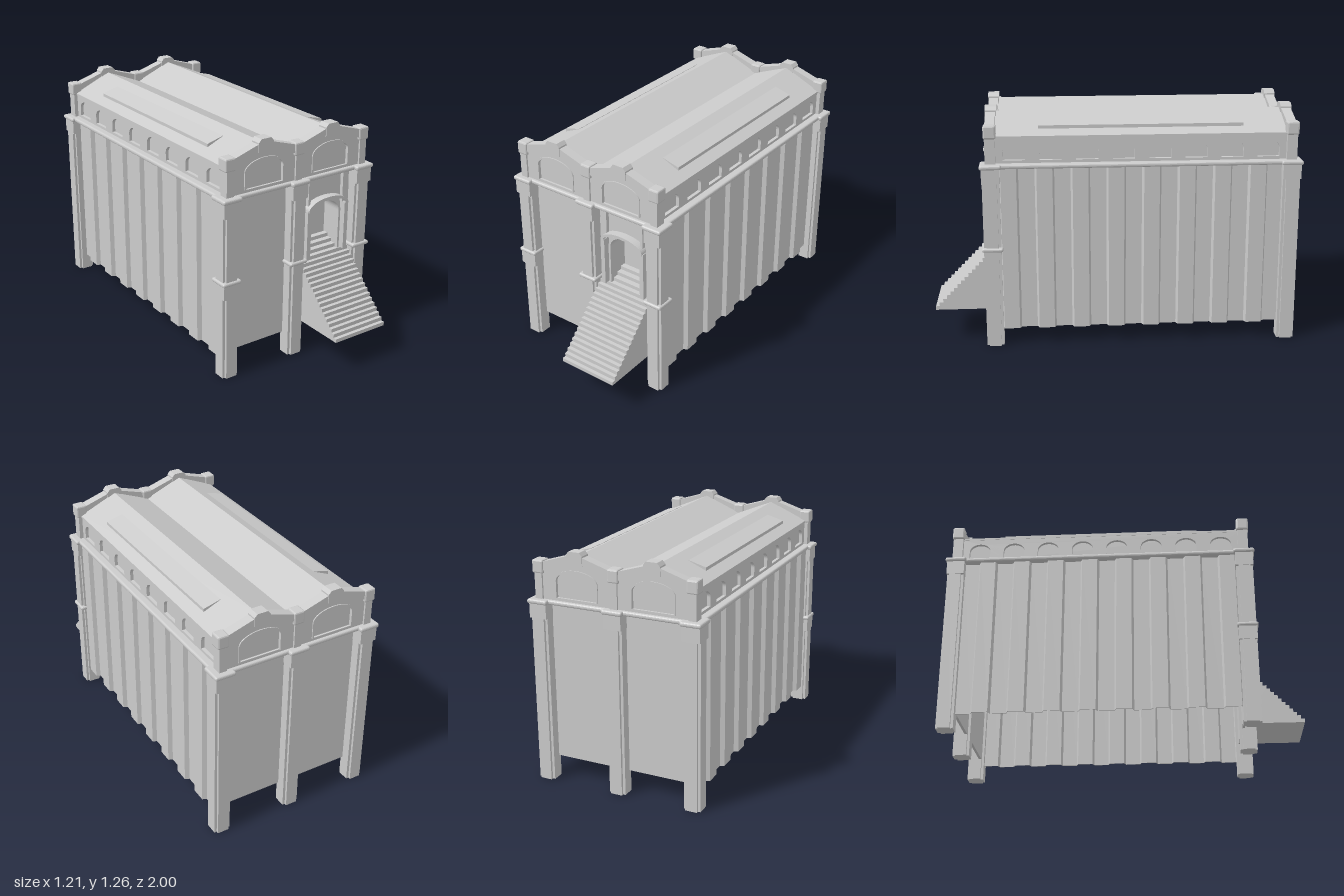
import * as THREE from 'three';
import { RoundedBoxGeometry } from 'three/addons/geometries/RoundedBoxGeometry.js';

const mat = new THREE.MeshStandardMaterial({ color: 0xcccccc, flatShading: true, side: THREE.DoubleSide });
const W = 0.425;   // half spacing of the corner pillars across
const L = 0.79;    // half spacing of the corner pillars lengthwise
const BAY = W / 2; // centre of each bay

function add(parent, name, geo, x = 0, y = 0, z = 0) {
  const m = new THREE.Mesh(geo, mat);
  m.name = name;
  m.position.set(x, y, z);
  parent.add(m);
  return m;
}

// Box given by its bottom height
function box(parent, name, w, h, d, x, y, z) {
  return add(parent, name, new THREE.BoxGeometry(w, h, d), x, y + h / 2, z);
}

function poly(points) {
  return new THREE.Shape(points.map(p => new THREE.Vector2(p[0], p[1])));
}

// Extrusion centred on its depth
function slab(shape, depth) {
  const g = new THREE.ExtrudeGeometry(shape, { depth, bevelEnabled: false, curveSegments: 14 });
  return g.translate(0, 0, -depth / 2);
}

// Outline of an opening with an elliptical head
function arch(cx, half, y0, spring, top, Type = THREE.Path) {
  const p = new Type();
  p.moveTo(cx - half, y0);
  p.lineTo(cx + half, y0);
  p.lineTo(cx + half, spring);
  p.absellipse(cx, spring, half, top - spring, 0, Math.PI, false);
  p.lineTo(cx - half, y0);
  return p;
}

// Arched band, open at the bottom
function archBand(cx, half, y0, spring, top, t) {
  const s = new THREE.Shape();
  s.moveTo(cx + half, y0);
  s.lineTo(cx + half + t, y0);
  s.lineTo(cx + half + t, spring);
  s.absellipse(cx, spring, half + t, top - spring + t, 0, Math.PI, false);
  s.lineTo(cx - half - t, y0);
  s.lineTo(cx - half, y0);
  s.lineTo(cx - half, spring);
  s.absellipse(cx, spring, half, top - spring, Math.PI, 0, true);
  return s;
}

// Pillar with notched corners, capital and optional middle ring
function pillar(x, z, front) {
  const g = new THREE.Group();
  g.name = 'pillar';
  g.position.set(x, 0, z);
  const a = 0.046, b = 0.032, pts = [];
  for (const [sx, sy] of [[1, 1], [-1, 1], [-1, -1], [1, -1]]) {
    const c = [[sx * a, sy * b], [sx * b, sy * b], [sx * b, sy * a]];
    pts.push(...(sx * sy > 0 ? c : c.reverse()));
  }
  const shaft = new THREE.ExtrudeGeometry(poly(pts), { depth: 0.98, bevelEnabled: false });
  add(g, 'shaft', shaft.rotateX(-Math.PI / 2));
  box(g, 'capital', 0.096, 0.08, 0.096, 0, 0.9, 0);
  add(g, 'capitalRing', new RoundedBoxGeometry(0.115, 0.024, 0.115, 2, 0.01), 0, 0.988, 0);
  if (front) add(g, 'middleRing', new RoundedBoxGeometry(0.112, 0.022, 0.112, 2, 0.01), 0, 0.542, 0);
  if (front && x < 0) box(g, 'ringBlock', 0.096, 0.075, 0.096, 0, 0.458, 0);
  return g;
}

// Double-gabled parapet with blind arches, copings and caps
function gableEnd() {
  const g = new THREE.Group();
  g.name = 'gableEnd';
  const face = poly([[-W, 0.99], [W, 0.99], [W, 1.16], [BAY, 1.225], [0, 1.16], [-BAY, 1.225], [-W, 1.16]]);
  for (const s of [-1, 1]) face.holes.push(arch(s * BAY, 0.118, 1.015, 1.105, 1.162));
  add(g, 'gableWall', slab(face, 0.035));
  for (const s of [-1, 1]) {
    const cx = s * BAY;
    add(g, 'archPanel', slab(arch(cx, 0.12, 1.01, 1.105, 1.164, THREE.Shape), 0.012));
    add(g, 'archTrim', slab(archBand(cx, 0.113, 1.015, 1.105, 1.157, 0.01), 0.046));
    for (const d of [-1, 1]) {
      const out = cx + d * BAY;
      add(g, 'coping', slab(poly([[out, 1.14], [cx, 1.212], [cx, 1.253], [out, 1.187]]), 0.052));
    }
    add(g, 'peakCap', slab(poly([[cx - 0.045, 1.198], [cx, 1.21], [cx + 0.045, 1.198],
      [cx + 0.045, 1.247], [cx + 0.03, 1.265], [cx - 0.03, 1.265], [cx - 0.045, 1.247]]), 0.06));
  }
  for (const x of [-W, 0, W]) {
    box(g, 'post', 0.042, 0.15, 0.055, x, 0.99, 0);
    add(g, 'postCap', new RoundedBoxGeometry(0.062, 0.07, 0.066, 1, 0.008), x, 1.168, 0);
  }
  return g;
}

// Corrugated side wall with an arcaded frieze
function sideWall(s) {
  const g = new THREE.Group();
  g.name = 'sideWall';
  const n = 8, period = 1.5 / n, outer = [];
  for (let i = 0; i < n; i++) {
    const z = -0.75 + i * period;
    outer.push([W, z], [W, z + 0.085], [W + 0.023, z + 0.095], [W + 0.023, z + period - 0.01]);
  }
  outer.push([W, 0.75]);
  const inner = outer.map(([x, z]) => [x - 0.006, z]).reverse();
  const sheet = new THREE.ExtrudeGeometry(poly([...outer, ...inner].map(([x, z]) => [s * x, -z])),
    { depth: 0.89, bevelEnabled: false });
  add(g, 'corrugatedSheet', sheet.rotateX(-Math.PI / 2), 0, 0.09, 0);

  const frieze = poly([[-L, 0.99], [L, 0.99], [L, 1.145], [-L, 1.145]]);
  for (let i = 0; i < n; i++) frieze.holes.push(arch((i - 3.5) * 0.191, 0.058, 1.015, 1.06, 1.105));
  add(g, 'frieze', slab(frieze, 0.018).rotateY(s * Math.PI / 2), s * (W - 0.009), 0, 0);
  box(g, 'friezeBacking', 0.004, 0.15, 2 * L, s * (W - 0.02), 0.99, 0);
  add(g, 'cornice', new RoundedBoxGeometry(0.05, 0.024, 2 * L, 2, 0.01), s * (W + 0.015), 0.988, 0);
  return g;
}

// Doorway in the front bay
function doorway() {
  const g = new THREE.Group();
  g.name = 'doorway';
  const wall = poly([[0, 0.18], [W, 0.18], [W, 0.98], [0, 0.98]]);
  wall.holes.push(arch(BAY, 0.1, 0.53, 0.75, 0.83));
  add(g, 'doorWall', slab(wall, 0.015), 0, 0, 0.765);
  add(g, 'doorReveal', slab(archBand(BAY, 0.094, 0.53, 0.75, 0.824, 0.012), 0.12), 0, 0, 0.725);
  add(g, 'doorPanel', slab(arch(BAY, 0.104, 0.53, 0.75, 0.834, THREE.Shape), 0.01), 0, 0, 0.665);
  add(g, 'doorHood', slab(archBand(BAY, 0.117, 0.795, 0.8, 0.842, 0.016), 0.06), 0, 0, 0.785);
  for (const s of [-1, 1]) {
    box(g, 'doorPilaster', 0.024, 0.27, 0.05, BAY + s * 0.125, 0.53, 0.785);
    box(g, 'upperPilaster', 0.014, 0.18, 0.03, BAY + s * 0.115, 0.8, 0.778);
  }
  for (let i = 0; i < 3; i++) {
    box(g, 'innerStep', 0.19, 0.02 * (i + 1), 0.03, BAY, 0.53, 0.75 - i * 0.03);
  }
  return g;
}

// Wedge of steps leading to the door
function stairs() {
  const n = 17, z0 = 0.77, z1 = 1.11, y0 = 0.18, rise = 0.35 / n, run = (z1 - z0) / n;
  const pts = [[z0, y0], [z1, y0]];
  for (let i = 0; i < n; i++) {
    const y = y0 + (i + 1) * rise;
    pts.push([z1 - i * run, y], [z1 - (i + 1) * run, y]);
  }
  return slab(poly(pts), 0.333).rotateY(-Math.PI / 2);
}

export function createModel() {
  const model = new THREE.Group();
  model.name = 'hall';
  const hall = new THREE.Group();
  hall.name = 'building';
  hall.rotation.y = 0.153;
  hall.position.set(-0.005, 0, -0.095);
  model.add(hall);

  for (const s of [-1, 1]) {
    for (const x of [-W, 0, W]) hall.add(pillar(x, s * L, s > 0));
    hall.add(sideWall(s));
    const gable = gableEnd();
    gable.position.z = s * L;
    hall.add(gable);
    add(hall, 'endCornice', new RoundedBoxGeometry(2 * W, 0.024, 0.06, 2, 0.01), 0, 0.988, s * (L + 0.005));
  }

  // End walls
  box(hall, 'backWall', 2 * W, 0.86, 0.015, 0, 0.12, -0.765);
  box(hall, 'frontWall', W, 0.86, 0.015, -BAY, 0.12, 0.765);
  hall.add(doorway());
  add(hall, 'stairs', stairs(), BAY - 0.003, 0, 0);

  // Double-ridged roof
  const e = W + 0.005, top = [[e, 1.143], [BAY, 1.237], [0, 1.15], [-BAY, 1.237], [-e, 1.143]];
  const under = top.map(([x, y]) => [x, y - 0.012]).reverse();
  add(hall, 'roof', slab(poly([...top, ...under]), 2 * L - 0.03));

  // Raised panels on the outer slopes
  for (const s of [-1, 1]) {
    add(hall, 'roofPanel', slab(poly([[s * 0.275, 1.212], [s * 0.37, 1.186],
      [s * 0.37, 1.16], [s * 0.275, 1.19]]), 1.08));
  }
  return model;
}
